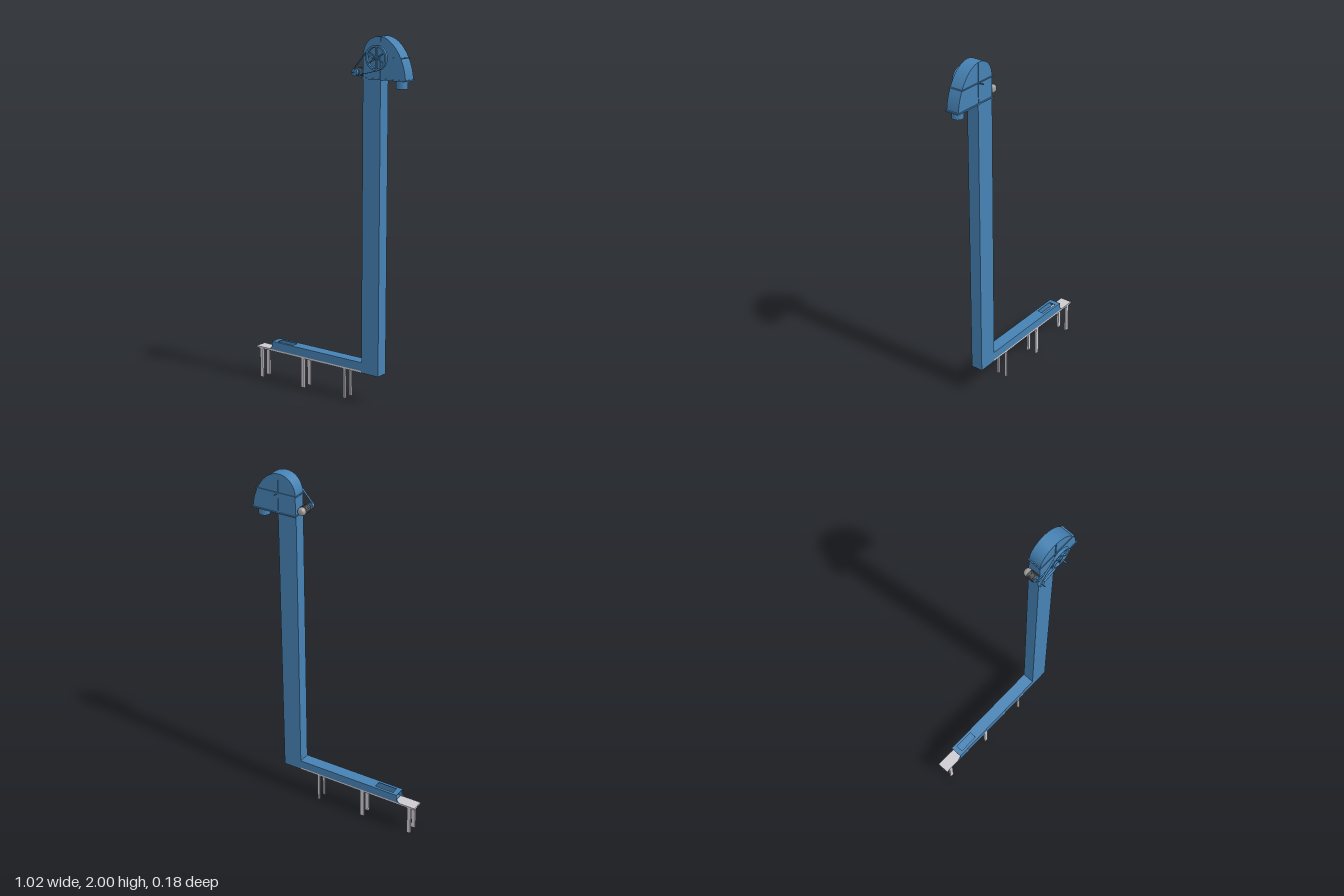
import * as THREE from 'three';

const mat = (name, color, side = THREE.FrontSide) => {
  const m = new THREE.MeshStandardMaterial({ color, side });
  m.name = name;
  return m;
};

export function createModel() {
  const model = new THREE.Group();
  model.name = 'bucketElevator';
  const blue = mat('paintedBlue', 0x4682b4);
  const grey = mat('lightGrey', 0xcdcad0);
  const dark = mat('motorDark', 0x555659);
  const steel = mat('motorGrey', 0xa0a0a0);

  const Z = -0.022, DEPTH = 0.07; // centre plane and width of the casing
  const add = (name, geometry, material, parent = model) => {
    const mesh = new THREE.Mesh(geometry, material);
    mesh.name = name;
    parent.add(mesh);
    return mesh;
  };
  // Box given by its limits on each axis
  const box = (name, x0, x1, y0, y1, z0, z1, m = blue) =>
    add(name, new THREE.BoxGeometry(x1 - x0, y1 - y0, z1 - z0), m)
      .position.set((x0 + x1) / 2, (y0 + y1) / 2, (z0 + z1) / 2);
  // Cylinder lying along z
  const rod = (name, x, y, z0, z1, r, m = blue, seg = 32) =>
    add(name, new THREE.CylinderGeometry(r, r, z1 - z0, seg).rotateX(Math.PI / 2), m)
      .position.set(x, y, (z0 + z1) / 2);
  const extrude = (name, shape, z0, z1, m = blue) =>
    add(name, new THREE.ExtrudeGeometry(shape, { depth: z1 - z0, bevelEnabled: false, curveSegments: 24 }), m)
      .position.z = z0;
  const zb = Z - DEPTH / 2, zf = Z + DEPTH / 2;

  // Base plate and legs
  box('basePlate', -0.515, 0.235, 0.172, 0.183, zb, zf, grey);
  for (const x of [-0.48, -0.176, 0.116])
    for (const z of [zb + 0.007, zf - 0.007]) {
      const w = x > 0 ? 0.006 : 0.011;
      box('leg', x - w, x + w, 0, 0.172, z - 0.006, z + 0.006, grey);
    }

  // Horizontal trough: side walls with a swept open end, roof with an inlet
  const wall = new THREE.Shape();
  wall.moveTo(-0.42, 0.183);
  wall.lineTo(0.235, 0.183);
  wall.lineTo(0.235, 0.23);
  wall.lineTo(-0.4, 0.23);
  wall.lineTo(-0.4, 0.205);
  wall.quadraticCurveTo(-0.403, 0.189, -0.42, 0.183);
  extrude('troughWall', wall, zb, zb + 0.003);
  extrude('troughWall', wall, zf - 0.003, zf);
  box('troughFloor', -0.39, 0.235, 0.183, 0.186, zb + 0.003, zf - 0.003);
  const roof = new THREE.Shape();
  roof.moveTo(-0.4, zb); roof.lineTo(0.235, zb); roof.lineTo(0.235, zf); roof.lineTo(-0.4, zf);
  const inlet = new THREE.Path();
  inlet.moveTo(-0.37, -0.042); inlet.lineTo(-0.37, -0.002);
  inlet.lineTo(-0.255, -0.002); inlet.lineTo(-0.255, -0.042);
  roof.holes.push(inlet);
  add('troughRoof', new THREE.ExtrudeGeometry(roof, { depth: 0.003, bevelEnabled: false })
    .rotateX(Math.PI / 2), blue).position.y = 0.231;

  // Vertical casing
  box('column', 0.235, 0.347, 0.172, 1.79, zb, zf);

  // Rounded head housing
  const head = new THREE.Shape();
  head.moveTo(0.237, 1.78);
  head.lineTo(0.503, 1.78);
  head.bezierCurveTo(0.5, 1.87, 0.435, 2.0, 0.335, 2.0);
  head.bezierCurveTo(0.28, 2.0, 0.237, 1.955, 0.237, 1.895);
  extrude('headHousing', head, zb - 0.002, zf + 0.002);

  // Seam flanges around the head
  box('headBaseFlange', 0.232, 0.51, 1.777, 1.784, zb - 0.006, zf + 0.006);
  box('headMiddleFlange', 0.232, 0.48, 1.89, 1.896, zb - 0.006, zf + 0.006);
  box('headVerticalFlange', 0.342, 0.348, 1.78, 1.999, zb - 0.005, zf + 0.005);

  // Discharge spout
  add('spout', new THREE.CylinderGeometry(0.031, 0.031, 0.045, 32), blue).position.set(0.46, 1.759, -0.018);

  // Drive shaft with a six-spoke pulley
  const wx = 0.345, wy = 1.893, mx = 0.21, my = 1.812, R = 0.065, r = 0.018;
  rod('driveShaft', wx, wy, -0.092, 0.088, 0.004, blue, 16);
  const rim = new THREE.Shape().absarc(0, 0, R, 0, Math.PI * 2);
  rim.holes.push(new THREE.Path().absarc(0, 0, R - 0.01, 0, Math.PI * 2, true));
  extrude('pulleyRim', rim, 0.04, 0.055);
  model.children[model.children.length - 1].position.set(wx, wy, 0.04);
  rod('pulleyHub', wx, wy, 0.038, 0.057, 0.011);
  for (let i = 0; i < 3; i++) {
    const spoke = add('pulleySpokes', new THREE.BoxGeometry(2 * R - 0.016, 0.006, 0.008), blue);
    spoke.position.set(wx, wy, 0.047);
    spoke.rotation.z = Math.PI / 6 + i * Math.PI / 3;
  }

  // Motor with ribbed body, rounded cap, flange and small pulley
  rod('motorBody', mx, my, -0.03, 0.012, 0.022, dark);
  for (let i = 0; i < 16; i++) {
    const a = i * Math.PI / 8;
    const fin = add('motorFin', new THREE.BoxGeometry(0.004, 0.002, 0.04), dark);
    fin.position.set(mx + 0.022 * Math.cos(a), my + 0.022 * Math.sin(a), -0.009);
    fin.rotation.z = a;
  }
  const cap = [[0, -0.026], [0.014, -0.026], [0.02, -0.021], [0.023, -0.012], [0.023, 0], [0, 0]]
    .map(([x, y]) => new THREE.Vector2(x, y));
  add('motorCap', new THREE.LatheGeometry(cap, 32).rotateX(Math.PI / 2), steel).position.set(mx, my, -0.03);
  rod('motorFlange', mx, my, 0.011, 0.016, 0.021);
  rod('motorShaft', mx, my, 0.014, 0.075, 0.003, blue, 16);
  rod('motorCollar', mx, my, 0.023, 0.028, 0.013);
  rod('motorPulley', mx, my, 0.039, 0.056, r);

  // Straight strands of the drive belt
  const dx = wx - mx, dy = wy - my, d = Math.hypot(dx, dy);
  const line = Math.atan2(dy, dx), tilt = Math.asin((R - r) / d);
  for (const s of [1, -1]) {
    const a = line + s * tilt, n = a + s * Math.PI / 2;
    const belt = add('driveBelt', new THREE.BoxGeometry(d * Math.cos(tilt), 0.003, 0.011), blue);
    belt.position.set((mx + wx) / 2 + Math.cos(n) * (R + r) / 2, (my + wy) / 2 + Math.sin(n) * (R + r) / 2, 0.0475);
    belt.rotation.z = a;
  }
  return model;
}
